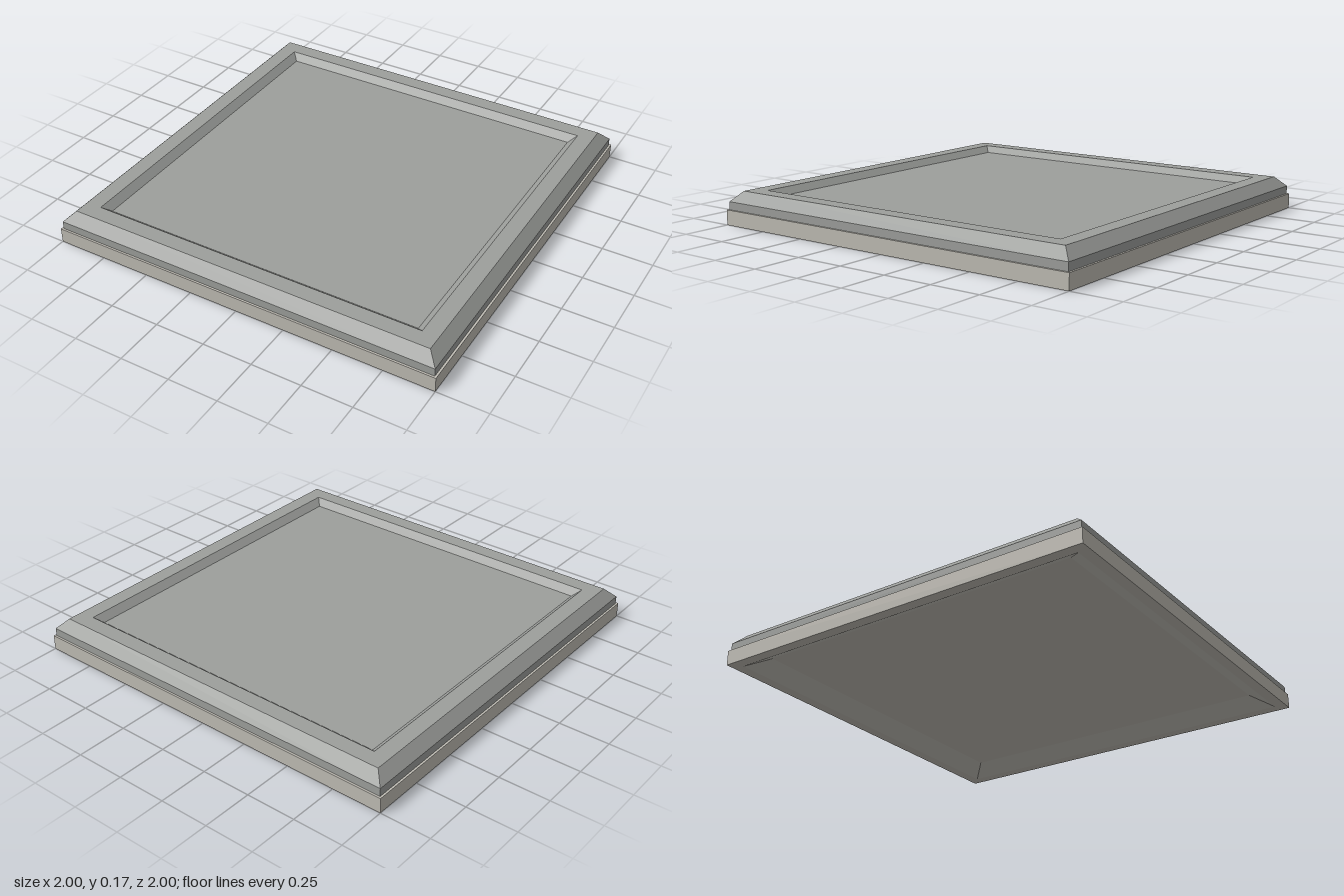
import * as THREE from 'three';

// Sweeps a [half-width, height] profile around a square plan with crisp faces.
function squareSweep(name, profile, color) {
  const points = profile.map(([half, y]) => new THREE.Vector2(half * Math.SQRT2, y));
  const geometry = new THREE.LatheGeometry(points, 4, Math.PI / 4).toNonIndexed();
  geometry.computeVertexNormals();
  const material = new THREE.MeshStandardMaterial({ color, flatShading: true });
  const mesh = new THREE.Mesh(geometry, material);
  mesh.name = name;
  return mesh;
}

export function createModel() {
  const model = new THREE.Group();
  model.name = 'squareFloorTile';

  // Base: underside recess with gently sloped walls, narrow rim, outer wall and ledge
  model.add(squareSweep('baseFrame', [
    [0, 0.053], [0.85, 0.053], [0.945, 0], [1, 0], [1, 0.075], [0.98, 0.075],
  ], 0xbfbcb4));

  // Top plate: stepped side, bevelled border and shallow sunken panel
  model.add(squareSweep('topPlate', [
    [0.99, 0.075], [0.99, 0.115], [0.94, 0.165], [0.86, 0.165], [0.823, 0.133], [0, 0.133],
  ], 0x9d9f9c));

  return model;
}
